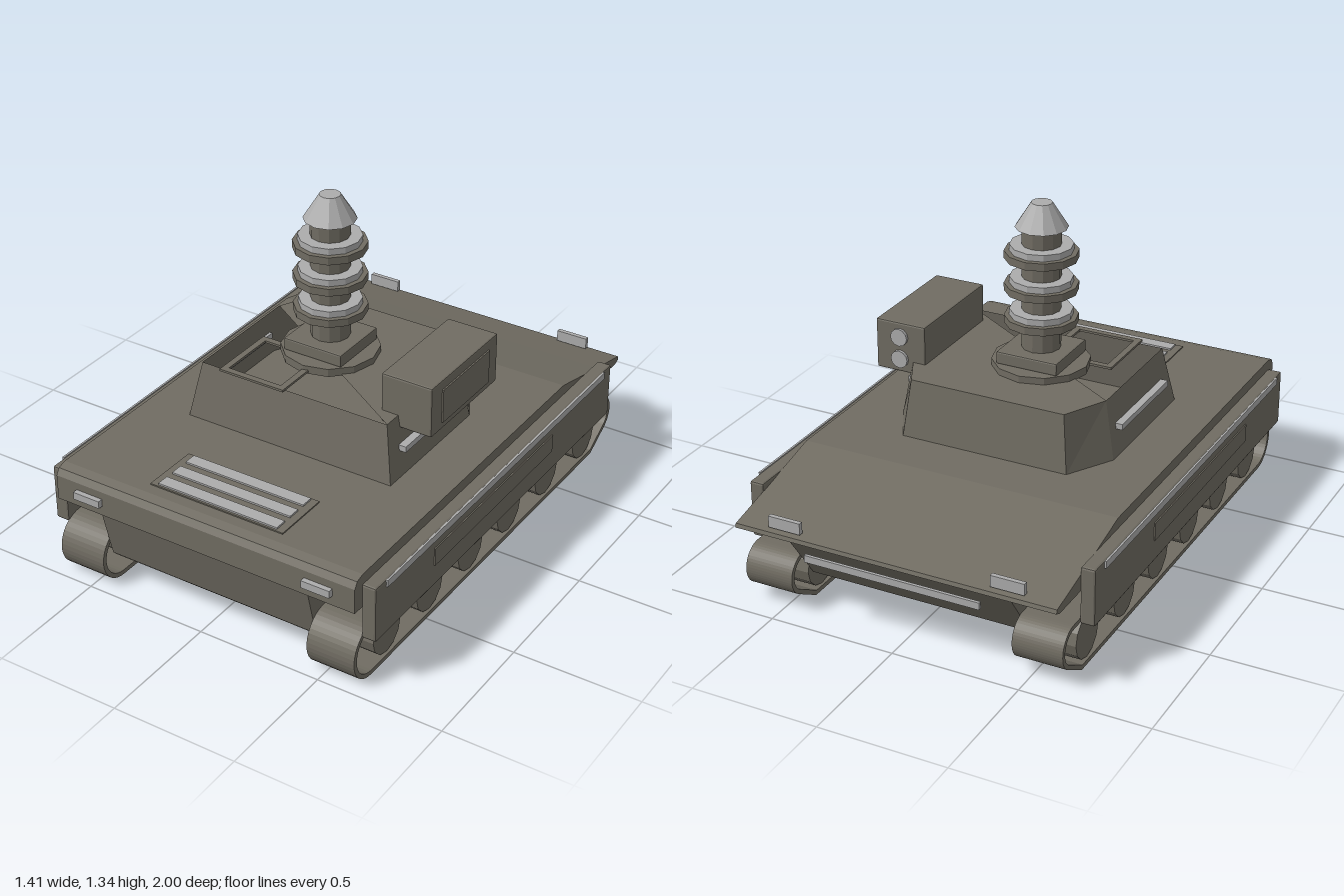
import * as THREE from 'three';
import { RoundedBoxGeometry } from 'three/addons/geometries/RoundedBoxGeometry.js';

const armour = new THREE.MeshStandardMaterial({ color: 0x706c62, side: THREE.DoubleSide, flatShading: true });
armour.name = 'olive grey armour';
const pale = new THREE.MeshStandardMaterial({ color: 0xacacac, flatShading: true });
pale.name = 'pale grey fittings';

export function createModel() {
  const root = new THREE.Group();
  root.name = 'trackedVehicle';

  const add = (name, geometry, material = armour, x = 0, y = 0, z = 0) => {
    const mesh = new THREE.Mesh(geometry, material);
    mesh.name = name;
    mesh.position.set(x, y, z);
    root.add(mesh);
    return mesh;
  };
  // Box given by its lower and upper corners
  const box = (name, material, x0, x1, y0, y1, z0, z1, bevel = 0) => {
    const size = [x1 - x0, y1 - y0, z1 - z0];
    const geo = bevel ? new RoundedBoxGeometry(...size, 1, bevel) : new THREE.BoxGeometry(...size);
    return add(name, geo, material, (x0 + x1) / 2, (y0 + y1) / 2, (z0 + z1) / 2);
  };
  // Side profile (z, y) extruded across x
  const across = (shape, width) => new THREE.ExtrudeGeometry(shape, { depth: width, bevelEnabled: false, curveSegments: 10 })
    .translate(0, 0, -width / 2).rotateY(-Math.PI / 2);
  const poly = (pts) => new THREE.Shape(pts.map(p => new THREE.Vector2(...p)));

  // Hull: wide upper deck and narrow lower tub
  add('upperHull', across(poly([
    [0.98, 0.81], [0.98, 0.91], [0.965, 0.935], [0.93, 0.945], [-0.51, 0.945],
    [-0.8, 0.877], [-0.99, 0.835], [-0.995, 0.82], [-0.97, 0.81],
  ]), 1.28));
  add('lowerHull', across(poly([
    [0.975, 0.815], [-0.965, 0.815], [-0.8, 0.585], [0.9, 0.585], [0.925, 0.61],
  ]), 0.89));

  // Track outline, inset by d
  const trackLoop = (d, path) => {
    path.moveTo(-0.79, 0.48 + d);
    path.lineTo(0.87, 0.48 + d);
    path.absarc(0.872, 0.5925, 0.1125 - d, -Math.PI / 2, Math.PI / 2, false);
    path.absarc(-0.86, 0.618, 0.084 - d, Math.PI / 2, Math.PI * 1.32, false);
    path.lineTo(-0.79 + d * 0.3, 0.48 + d);
    return path;
  };
  const trackShape = trackLoop(0, new THREE.Shape());
  trackShape.holes.push(trackLoop(0.018, new THREE.Path()));
  const trackGeo = across(trackShape, 0.195);
  const wheelGeo = new THREE.CylinderGeometry(0.09, 0.09, 0.175, 12).rotateZ(Math.PI / 2);

  for (const s of [-1, 1]) {
    const side = s > 0 ? 'left' : 'right';
    const mirrored = (name, mat, x0, x1, ...rest) =>
      box(side + name, mat, Math.min(s * x0, s * x1), Math.max(s * x0, s * x1), ...rest);

    // Running gear
    add(side + 'Track', trackGeo, armour, s * 0.5425);
    for (const z of [0.755, 0.463, 0.17, -0.122, -0.42, -0.73]) {
      add(side + 'RoadWheel', wheelGeo, armour, s * 0.5425, 0.588, z);
    }

    // Side skirt with stripe and raised panel
    mirrored('Skirt', armour, 0.638, 0.696, 0.68, 0.905, -0.81, 0.935, 0.008);
    mirrored('SkirtStripe', pale, 0.695, 0.703, 0.878, 0.906, -0.74, 0.87);
    mirrored('SkirtPanel', armour, 0.695, 0.701, 0.77, 0.842, -0.32, 0.55);

    // Lamps at both ends and turret stripe
    mirrored('FrontLamp', pale, 0.435, 0.55, 0.85, 0.88, 0.975, 1.0);
    mirrored('RearLamp', pale, 0.38, 0.51, 0.845, 0.89, -0.975, -0.957);
    mirrored('TurretStripe', pale, 0.41, 0.451, 1.042, 1.065, -0.07, 0.345);
  }
  box('noseStrip', pale, -0.35, 0.35, 0.757, 0.785, -1.0, -0.988);

  // Deck grille
  box('grillePlate', armour, -0.285, 0.285, 0.943, 0.95, 0.655, 0.885);
  for (const z of [0.688, 0.77, 0.852]) {
    box('grilleBar', pale, -0.255, 0.255, 0.949, 0.957, z - 0.025, z + 0.025);
  }

  // Turret: sloped walls between two outlines
  const base = [[-0.445, 0.433], [0.442, 0.433], [0.442, -0.13], [0.34, -0.31], [-0.34, -0.31], [-0.445, -0.13]];
  const rim = [[-0.402, 0.395], [0.402, 0.395], [0.402, -0.11], [0.315, -0.282], [-0.315, -0.282], [-0.402, -0.11]];
  const walls = [];
  base.forEach((p, i) => {
    const j = (i + 1) % base.length;
    const a = [p[0], 0.943, p[1]], b = [base[j][0], 0.943, base[j][1]];
    const c = [rim[j][0], 1.17, rim[j][1]], d = [rim[i][0], 1.17, rim[i][1]];
    walls.push(...a, ...b, ...c, ...a, ...c, ...d);
  });
  const wallGeo = new THREE.BufferGeometry();
  wallGeo.setAttribute('position', new THREE.Float32BufferAttribute(walls, 3));
  wallGeo.computeVertexNormals();
  add('turretWalls', wallGeo);

  // Turret roof, open on its front right half
  const roof = poly(rim.slice(1).map(([x, z]) => [x, -z]));
  add('turretRoof', new THREE.ShapeGeometry(roof).rotateX(-Math.PI / 2), armour, 0, 1.17, 0);

  // Hatch frame
  const hatch = poly([[-0.31, -0.415], [-0.03, -0.415], [-0.03, -0.13], [-0.31, -0.13]]);
  hatch.holes.push(poly([[-0.285, -0.39], [-0.285, -0.155], [-0.055, -0.155], [-0.055, -0.39]]));
  add('hatchFrame', new THREE.ExtrudeGeometry(hatch, { depth: 0.009, bevelEnabled: false })
    .rotateX(-Math.PI / 2), armour, 0, 1.171, 0);

  // Sensor mast with collars and tapered cap
  const mx = -0.05, mz = 0.065;
  const drum = (name, mat, rTop, rBottom, y0, y1) =>
    add(name, new THREE.CylinderGeometry(rTop, rBottom, y1 - y0, 12), mat, mx, (y0 + y1) / 2, mz);
  drum('mastRing', armour, 0.188, 0.188, 1.165, 1.197);
  box('mastBlock', armour, mx - 0.126, mx + 0.126, 1.195, 1.245, mz - 0.126, mz + 0.126, 0.006);
  drum('mastColumn', armour, 0.075, 0.075, 1.24, 1.73);
  for (const y of [1.345, 1.475, 1.603]) {
    drum('mastCollar', armour, 0.14, 0.14, y, y + 0.03);
    drum('mastCollarTop', pale, 0.12, 0.12, y + 0.03, y + 0.055);
  }
  drum('mastCap', pale, 0.04, 0.1, 1.725, 1.82);

  // Launcher pod on the left of the turret
  box('launcherPod', armour, 0.33, 0.54, 1.12, 1.322, -0.148, 0.32, 0.007);
  box('launcherPanel', armour, 0.539, 0.546, 1.15, 1.285, -0.08, 0.25);
  for (const y of [1.175, 1.265]) {
    add('launcherLens', new THREE.CylinderGeometry(0.035, 0.035, 0.014, 12).rotateX(Math.PI / 2), pale, 0.438, y, -0.153);
  }

  return root;
}
